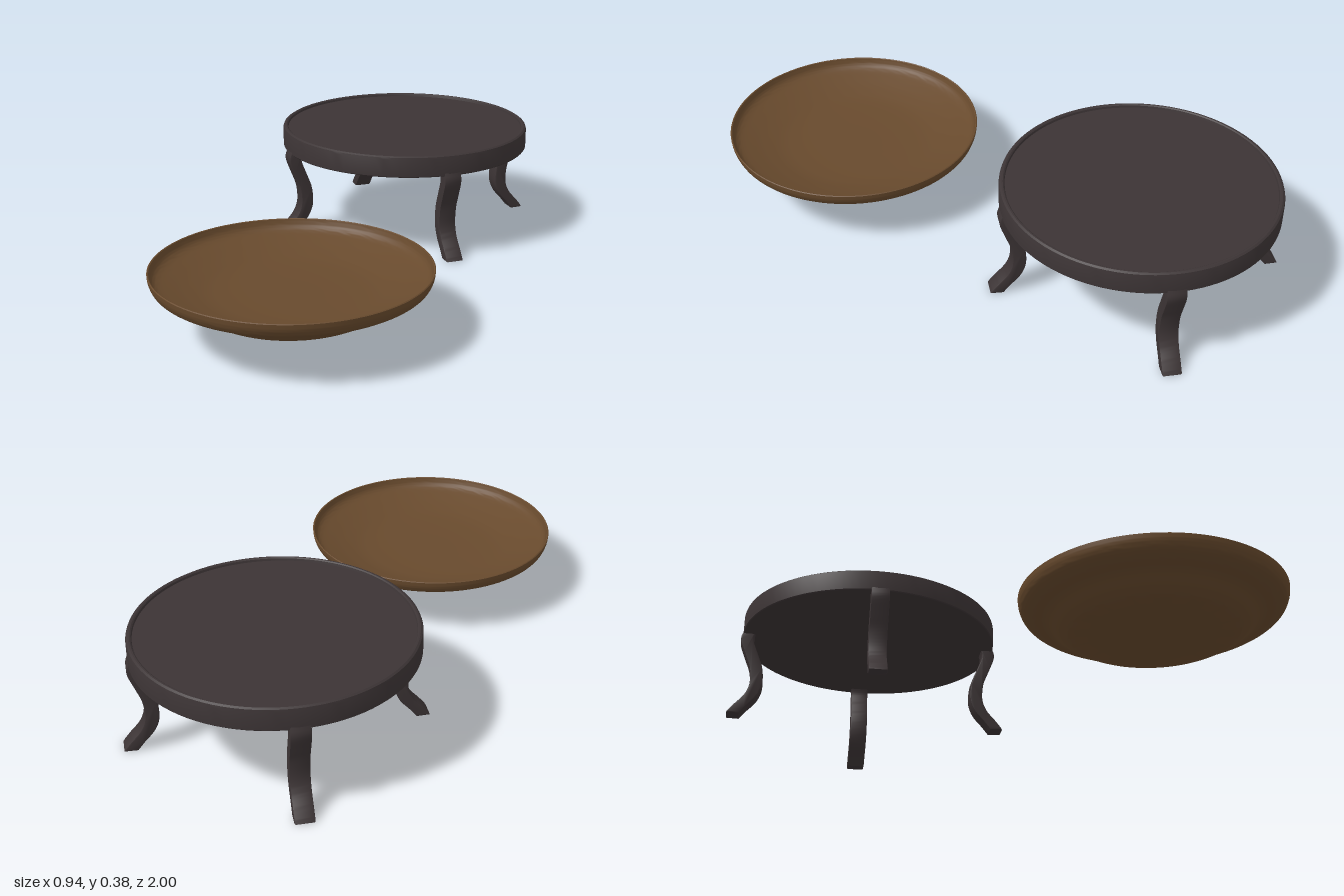
import * as THREE from 'three';
import { toCreasedNormals } from 'three/addons/utils/BufferGeometryUtils.js';

const charcoal = new THREE.MeshStandardMaterial({ name: 'charcoal wood', color: 0x3c3435 });
const brown = new THREE.MeshStandardMaterial({ name: 'brown wood', color: 0x684a2d });

function add(parent, name, geometry, material) {
  const mesh = new THREE.Mesh(geometry, material);
  mesh.name = name;
  parent.add(mesh);
  return mesh;
}

const vectors = (list) => list.map(([x, y]) => new THREE.Vector2(x, y));

// Turned part: profile runs from the underside centre, round the rim, to the top centre
function turned(points) {
  return toCreasedNormals(new THREE.LatheGeometry(points, 96), 0.5);
}

// S-curved leg: a side outline swept along a centre line (radius, height), then extruded sideways
function legGeometry() {
  const centre = new THREE.SplineCurve(vectors([
    [0.428, 0.312], [0.434, 0.28], [0.414, 0.225], [0.396, 0.175],
    [0.392, 0.115], [0.408, 0.07], [0.442, 0.03], [0.463, 0.004],
  ])).getPoints(32);
  const half = 0.018, bevel = 0.004, width = 0.062;
  const inner = centre.map((p) => new THREE.Vector2(p.x - half, p.y));
  const outer = centre.map((p) => new THREE.Vector2(p.x + half, p.y)).reverse();
  const g = new THREE.ExtrudeGeometry(new THREE.Shape([...inner, ...outer]), {
    depth: width - 2 * bevel, bevelEnabled: true,
    bevelSize: bevel, bevelThickness: bevel, bevelSegments: 2,
  });
  g.translate(0, 0, -width / 2 + bevel);
  return toCreasedNormals(g, 0.6);
}

export function createModel() {
  const model = new THREE.Group();
  model.name = 'standAndPlate';

  // Round stand with a thin raised lip
  const stand = new THREE.Group();
  stand.name = 'stand';
  stand.position.set(-0.022, 0, -0.552);
  model.add(stand);
  add(stand, 'standTop', turned(vectors([
    [0, 0.305], [0.447, 0.305], [0.45, 0.308], [0.45, 0.37], [0.448, 0.376], [0.442, 0.38],
    [0.437, 0.38], [0.433, 0.377], [0.431, 0.37], [0, 0.37],
  ])), charcoal);

  // Four legs around the stand
  const leg = legGeometry();
  for (let i = 0; i < 4; i++) {
    add(stand, 'leg' + (i + 1), leg, charcoal).rotation.y = -THREE.MathUtils.degToRad(47.5 + 90 * i);
  }

  // Shallow plate with a flat foot and an upturned rim
  const outside = new THREE.SplineCurve(vectors([
    [0.275, 0.095], [0.305, 0.112], [0.345, 0.142], [0.39, 0.158], [0.422, 0.175], [0.434, 0.196], [0.437, 0.216],
  ])).getPoints(28);
  const inside = new THREE.SplineCurve(vectors([
    [0.431, 0.216], [0.425, 0.198], [0.41, 0.183], [0.37, 0.168], [0.31, 0.15], [0.24, 0.136], [0.12, 0.13], [0, 0.13],
  ])).getPoints(32);
  inside[inside.length - 1].x = 0;
  const plate = add(model, 'plate', turned([
    ...vectors([[0, 0.093], [0.2, 0.093], [0.205, 0.095]]),
    ...outside, new THREE.Vector2(0.434, 0.218), ...inside,
  ]), brown);
  plate.position.set(0.033, 0, 0.562);

  return model;
}
